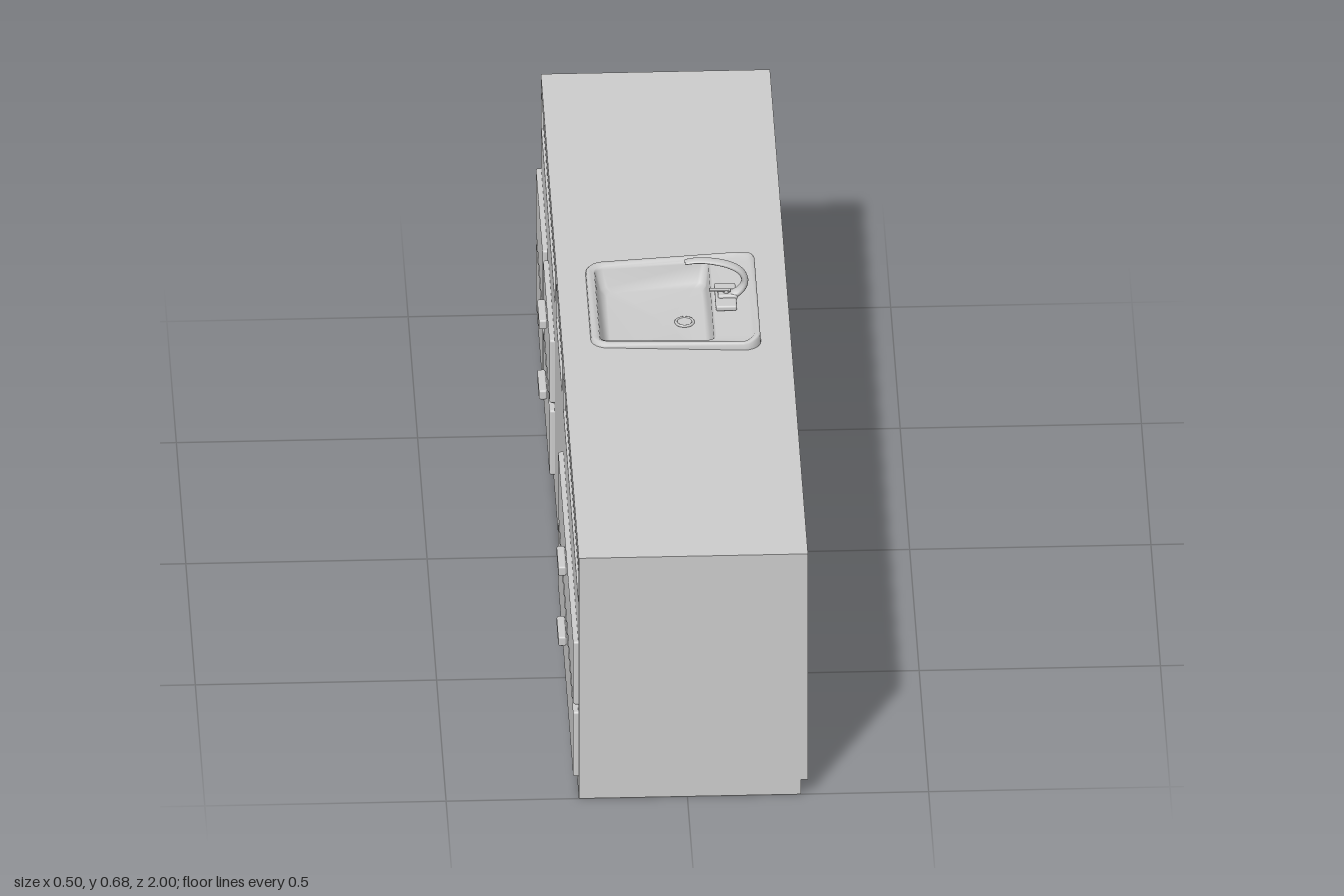
import * as THREE from 'three';
import { RoundedBoxGeometry } from 'three/addons/geometries/RoundedBoxGeometry.js';

const mat = new THREE.MeshStandardMaterial({ color: 0xcccccc, side: THREE.DoubleSide });
const X0 = -0.225, X1 = 0.25, TOP = 0.575, T = 0.015, SINK_Z = -0.037;

function add(group, name, geometry, x = 0, y = 0, z = 0) {
  const mesh = new THREE.Mesh(geometry, mat);
  mesh.name = name;
  mesh.position.set(x, y, z);
  group.add(mesh);
  return mesh;
}

const box = (w, h, d) => new THREE.BoxGeometry(w, h, d);
const polygon = (pts) => pts.map(([a, b]) => new THREE.Vector2(a, b));
const rect = (a0, b0, a1, b1) => polygon([[a0, b0], [a1, b0], [a1, b1], [a0, b1]]);

// Flat board cut from an outline with optional openings
function board(outline, holes = []) {
  const shape = new THREE.Shape(outline);
  holes.forEach((h) => shape.holes.push(new THREE.Path(h)));
  return new THREE.ExtrudeGeometry(shape, { depth: T, bevelEnabled: false });
}

// Surface through closed loops of points, finished with a centre cap
function loft(rings, center) {
  const n = rings[0].length, pos = rings.flat(2), idx = [];
  for (let r = 0; r < rings.length - 1; r++) {
    for (let i = 0; i < n; i++) {
      const a = r * n + i, b = r * n + (i + 1) % n;
      idx.push(a, a + n, b, b, a + n, b + n);
    }
  }
  const last = (rings.length - 1) * n;
  pos.push(...center);
  for (let i = 0; i < n; i++) idx.push(last + i, rings.length * n, last + (i + 1) % n);
  const g = new THREE.BufferGeometry();
  g.setAttribute('position', new THREE.Float32BufferAttribute(pos, 3));
  g.setIndex(idx);
  g.computeVertexNormals();
  return g;
}

// Rounded trapezoid loop, wider towards +x; y may depend on x
function sinkRing(x0, x1, h0, h1, r, yOf) {
  const pts = [];
  const corners = [[x1, h1, 1, 1], [x0, h0, -1, 1], [x0, h0, -1, -1], [x1, h1, 1, -1]];
  corners.forEach(([cx, h, sx, sz], k) => {
    for (let i = 0; i <= 6; i++) {
      const a = (k + i / 6) * Math.PI / 2;
      const x = cx - sx * r + r * Math.cos(a);
      pts.push([x, yOf(x), SINK_Z + sz * (h - r) + r * Math.sin(a)]);
    }
  });
  return pts;
}

function createCabinet(group) {
  const panels = [[-0.98, -0.26], [-0.2, 0.12], [0.18, 0.98]];
  const columns = [[-0.98, -0.635, false], [-0.6, -0.265, true], [0.19, 0.98, true]];
  const rows = [[0.04, 0.195], [0.212, 0.363]];

  // Worktop with the sink cut-out
  const cut = sinkRing(-0.155, 0.175, 0.16, 0.178, 0.03, () => 0).map((p) => [p[0], p[2]]);
  const top = board(rect(X0, -1, X1, 1), [polygon(cut)]);
  top.rotateX(Math.PI / 2);
  add(group, 'worktop', top, 0, TOP, 0);

  // Drawer-side wall with openings for the recessed upper panels
  const front = board(rect(-1, 0, 1, TOP - T), panels.map(([a, b]) => rect(a, 0.455, b, 0.542)));
  front.rotateY(-Math.PI / 2);
  add(group, 'drawerWall', front, X0 + T);

  // Plain long wall, raised over part of its foot
  const back = board(polygon([[-1, 0], [0.41, 0], [0.41, 0.035], [1, 0.035], [1, TOP - T], [-1, TOP - T]]));
  back.rotateY(-Math.PI / 2);
  add(group, 'plainWall', back, X1);

  // End walls, one with a notch at the foot
  const a = X0 + T, b = X1 - T, h = TOP - T;
  add(group, 'endWall', board(rect(a, 0, b, h)), 0, 0, 1 - T);
  add(group, 'notchedEndWall', board(polygon([
    [a, 0], [-0.125, 0], [-0.125, 0.035], [0.035, 0.035], [0.035, 0], [b, 0], [b, h], [a, h],
  ])), 0, 0, -1);

  // Partial floor
  [[X0, -0.06, 0.16, 1], [0.03, X1, 0.16, 0.4], [0.025, X1, -1, -0.23], [X0, -0.135, -0.62, -0.24]]
    .forEach(([x0, x1, z0, z1]) =>
      add(group, 'floorPanel', box(x1 - x0, 0.003, z1 - z0), (x0 + x1) / 2, 0.0015, (z0 + z1) / 2));

  // Recessed upper panels
  panels.forEach(([z0, z1]) =>
    add(group, 'upperPanel', box(0.006, 0.087, z1 - z0), X0 + 0.008, 0.4985, (z0 + z1) / 2));

  // Raised drawer fronts and their handles
  for (const [z0, z1, handled] of columns) {
    for (const [y0, y1] of rows) {
      const z = (z0 + z1) / 2, y = (y0 + y1) / 2;
      add(group, 'drawerFront', new RoundedBoxGeometry(0.022, y1 - y0, z1 - z0, 2, 0.005), X0, y, z);
      if (!handled) continue;
      const hy = y1 - 0.034;
      add(group, 'handle', new RoundedBoxGeometry(0.017, 0.022, 0.09, 2, 0.004), -0.2445, hy, z);
      add(group, 'handleNeck', box(0.012, 0.016, 0.075), -0.236, hy, z);
    }
  }
}

function createSink(group) {
  // The rim rises gently towards the tap, with a lip at the end
  const rim = (x) => 0.584 + 0.018 * (x + 0.165) + 0.006 * THREE.MathUtils.smoothstep(x, 0.155, 0.18);
  const deck = (x) => 0.580 + 0.018 * (x + 0.165);
  const level = (y) => () => y;
  const rings = [
    sinkRing(-0.165, 0.187, 0.172, 0.192, 0.035, level(TOP)),
    sinkRing(-0.164, 0.186, 0.171, 0.191, 0.035, (x) => rim(x) - 0.004),
    sinkRing(-0.161, 0.183, 0.168, 0.188, 0.034, rim),
    sinkRing(-0.154, 0.174, 0.161, 0.181, 0.03, rim),
    sinkRing(-0.149, 0.168, 0.156, 0.175, 0.027, deck),
    sinkRing(-0.147, 0.095, 0.151, 0.163, 0.018, deck),
    sinkRing(-0.145, 0.09, 0.148, 0.16, 0.016, (x) => deck(x) - 0.004),
    sinkRing(-0.135, 0.085, 0.139, 0.15, 0.018, level(0.54)),
    sinkRing(-0.122, 0.076, 0.128, 0.138, 0.018, level(0.533)),
  ];
  add(group, 'sinkBasin', loft(rings, [0, 0.532, SINK_Z]));
  const drain = new THREE.TorusGeometry(0.018, 0.003, 8, 28);
  drain.rotateX(Math.PI / 2);
  add(group, 'drainRing', drain, 0.035, 0.534, SINK_Z);
  add(group, 'drainPlug', new THREE.CylinderGeometry(0.015, 0.015, 0.003, 24), 0.035, 0.534, SINK_Z);
}

function createTap(group) {
  add(group, 'tapPlate', new RoundedBoxGeometry(0.044, 0.012, 0.1, 2, 0.004), 0.12, 0.592, SINK_Z);
  add(group, 'tapBase', new RoundedBoxGeometry(0.04, 0.012, 0.032, 2, 0.004), 0.124, 0.598, SINK_Z);

  // Spout: elliptical sections along a curve, tapering to the tip
  const curve = new THREE.CatmullRomCurve3([
    [0.132, 0.597], [0.15, 0.609], [0.16, 0.63], [0.152, 0.652], [0.128, 0.668], [0.09, 0.678], [0.06, 0.68], [0.036, 0.677],
  ].map(([x, y]) => new THREE.Vector3(x, y, SINK_Z)));
  const rings = [];
  for (let i = 0; i <= 32; i++) {
    const t = i / 32, p = curve.getPointAt(t), d = curve.getTangentAt(t);
    const thick = THREE.MathUtils.lerp(0.0085, 0.0035, t), wide = THREE.MathUtils.lerp(0.014, 0.011, t);
    rings.push(Array.from({ length: 16 }, (_, k) => {
      const a = k / 16 * Math.PI * 2, s = thick * Math.cos(a);
      return [p.x + d.y * s, p.y - d.x * s, p.z - wide * Math.sin(a)];
    }));
  }
  add(group, 'spout', loft(rings, [0.035, 0.677, SINK_Z]));

  // Lever on a short stem
  add(group, 'leverStem', new THREE.CylinderGeometry(0.006, 0.008, 0.012, 16), 0.121, 0.604, SINK_Z);
  const lever = add(group, 'lever', new RoundedBoxGeometry(0.045, 0.003, 0.012, 2, 0.0014), 0.108, 0.609, SINK_Z);
  lever.rotation.z = -0.05;
}

export function createModel() {
  const model = new THREE.Group();
  model.name = 'sinkCabinet';
  for (const [name, build] of [['cabinet', createCabinet], ['sink', createSink], ['tap', createTap]]) {
    const part = new THREE.Group();
    part.name = name;
    build(part);
    model.add(part);
  }
  return model;
}
